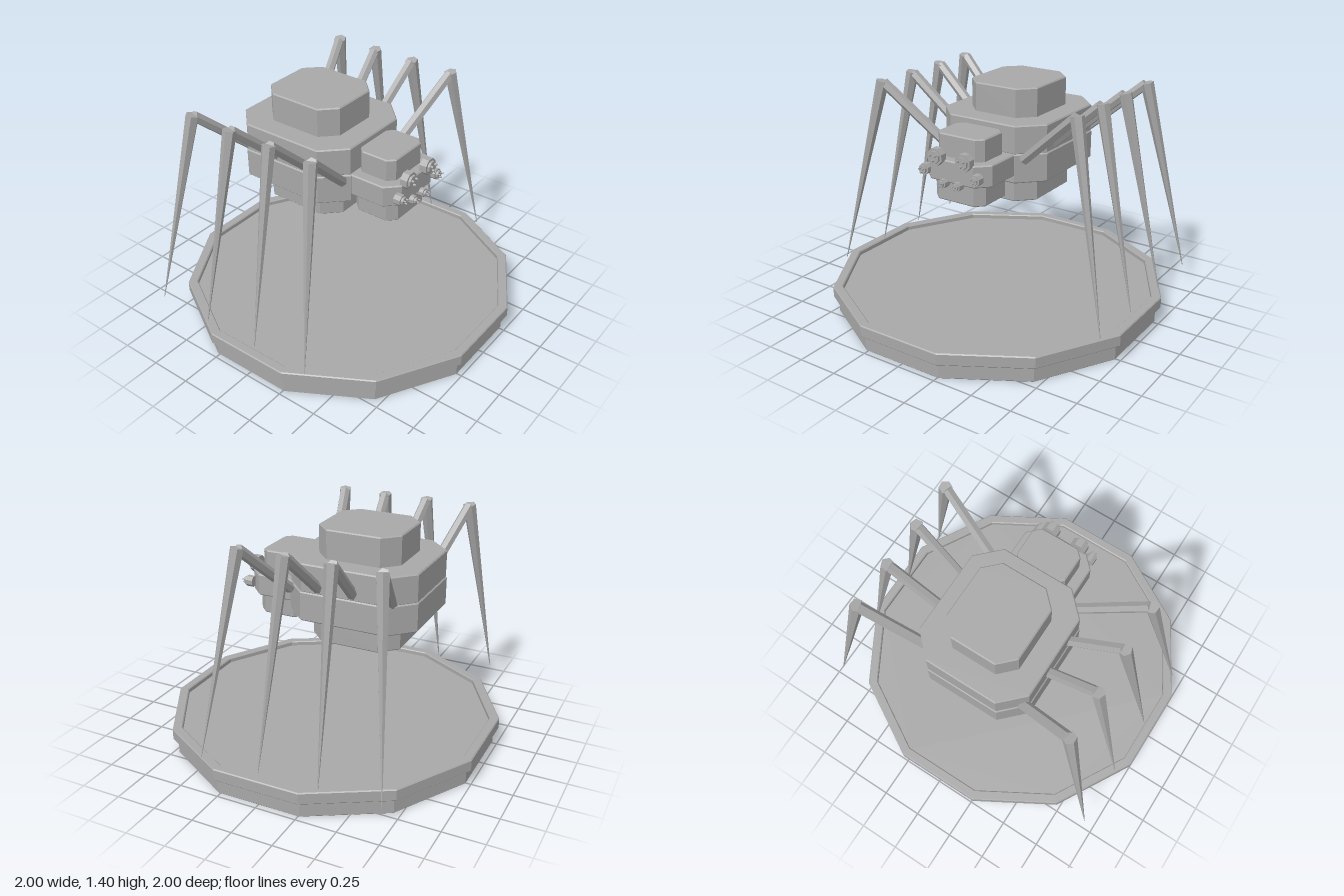
import * as THREE from 'three';

const gray = new THREE.MeshStandardMaterial({ color: 0xa8a8a8, flatShading: true });
gray.name = 'stone gray';

function addMesh(parent, name, geometry) {
  const mesh = new THREE.Mesh(geometry, gray);
  mesh.name = name;
  parent.add(mesh);
  return mesh;
}

// Upright extrusion of a plan shape (plan y = -z) with a fine bevel
function upright(shape, y0, y1, bevel) {
  const g = new THREE.ExtrudeGeometry(shape, {
    depth: y1 - y0 - 2 * bevel, bevelEnabled: bevel > 0, bevelSegments: 1,
    bevelSize: bevel, bevelThickness: bevel, bevelOffset: -bevel,
  });
  g.rotateX(-Math.PI / 2);
  g.translate(0, y0 + bevel, 0);
  return g;
}

// Box with chamfered vertical corners
function block(parent, name, hx, z0, z1, y0, y1, c) {
  const a = -z1, b = -z0;
  const shape = new THREE.Shape([
    [-hx + c, a], [hx - c, a], [hx, a + c], [hx, b - c],
    [hx - c, b], [-hx + c, b], [-hx, b - c], [-hx, a + c],
  ].map(([x, y]) => new THREE.Vector2(x, y)));
  addMesh(parent, name, upright(shape, y0, y1, 0.007));
}

// Twelve-sided outline with flats facing the axes
function dodecagon(apothem) {
  const r = apothem / Math.cos(Math.PI / 12);
  return Array.from({ length: 12 }, (_, i) => {
    const t = (i + 0.5) * Math.PI / 6;
    return new THREE.Vector2(r * Math.cos(t), r * Math.sin(t));
  });
}

// Tapered bar between two points
function bar(parent, name, from, to, r0, r1, sides) {
  const dir = to.clone().sub(from);
  const mesh = addMesh(parent, name, new THREE.CylinderGeometry(r1, r0, dir.length(), sides));
  mesh.position.copy(from).add(to).multiplyScalar(0.5);
  mesh.quaternion.setFromUnitVectors(new THREE.Vector3(0, 1, 0), dir.normalize());
}

// Disc facing the front
function disc(parent, name, x, y, z0, z1, r) {
  const g = new THREE.CylinderGeometry(r, r, z1 - z0, 8);
  g.rotateY(Math.PI / 8);
  g.rotateX(Math.PI / 2);
  g.translate(x, y, (z0 + z1) / 2);
  addMesh(parent, name, g);
}

export function createModel() {
  const model = new THREE.Group();
  model.name = 'spider on base';

  // Base with a raised rim
  const base = new THREE.Group();
  base.name = 'base';
  model.add(base);
  addMesh(base, 'baseFoot', upright(new THREE.Shape(dodecagon(0.97)), 0, 0.105, 0.006));
  addMesh(base, 'baseFloor', upright(new THREE.Shape(dodecagon(0.95)), 0.1, 0.145, 0));
  const rim = new THREE.Shape(dodecagon(1));
  rim.holes.push(new THREE.Path(dodecagon(0.942).reverse()));
  addMesh(base, 'baseRim', upright(rim, 0.1, 0.175, 0.006));

  // Stacked body
  const body = new THREE.Group();
  body.name = 'body';
  model.add(body);
  block(body, 'belly', 0.255, -0.495, 0.065, 0.715, 0.89, 0.1);
  block(body, 'lowerBody', 0.367, -0.625, 0.178, 0.88, 1.057, 0.137);
  block(body, 'upperBody', 0.361, -0.62, 0.172, 1.053, 1.225, 0.135);
  block(body, 'backHump', 0.232, -0.482, 0.032, 1.215, 1.4, 0.092);

  // Head
  const head = new THREE.Group();
  head.name = 'head';
  model.add(head);
  block(head, 'jaw', 0.175, 0.14, 0.435, 0.795, 0.932, 0.05);
  block(head, 'face', 0.227, 0.08, 0.472, 0.925, 1.057, 0.077);
  block(head, 'brow', 0.162, 0.165, 0.412, 1.05, 1.19, 0.04);

  // Eyes: socket, lens and three tiny glints
  for (const side of [-1, 1]) {
    for (const [x, y, r] of [[0.097, 1.073, 0.053], [0.178, 0.985, 0.034], [0.05, 0.921, 0.027]]) {
      const eye = new THREE.Group();
      eye.name = 'eye';
      head.add(eye);
      disc(eye, 'eyeSocket', side * x, y, 0.455, 0.5, r);
      disc(eye, 'eyeLens', side * x, y, 0.49, 0.514, r * 0.72);
      for (const [dx, dy] of [[-0.35, 0.25], [0.35, 0.25], [0, -0.35]]) {
        disc(eye, 'eyeGlint', side * x + dx * r, y + dy * r, 0.51, 0.53, r * 0.14);
      }
    }
  }

  // Four pairs of legs, spread evenly about the body's middle
  const midZ = -0.172;
  for (const side of [-1, 1]) {
    for (const [hip, knee, tip] of [
      [0.322, 0.425, 0.56], [0.1, 0.14, 0.186], [-0.1, -0.14, -0.186], [-0.322, -0.425, -0.56],
    ]) {
      const leg = new THREE.Group();
      leg.name = side > 0 ? 'leftLeg' : 'rightLeg';
      model.add(leg);
      const at = (x, y, z) => new THREE.Vector3(side * x, y, midZ + z);
      bar(leg, 'upperLeg', at(0.28, 1.03, hip), at(0.665, 1.37, knee), 0.032, 0.032, 6);
      bar(leg, 'lowerLeg', at(0.672, 1.38, knee), at(0.935, 0.185, tip), 0.04, 0.002, 6);
    }
  }
  return model;
}
